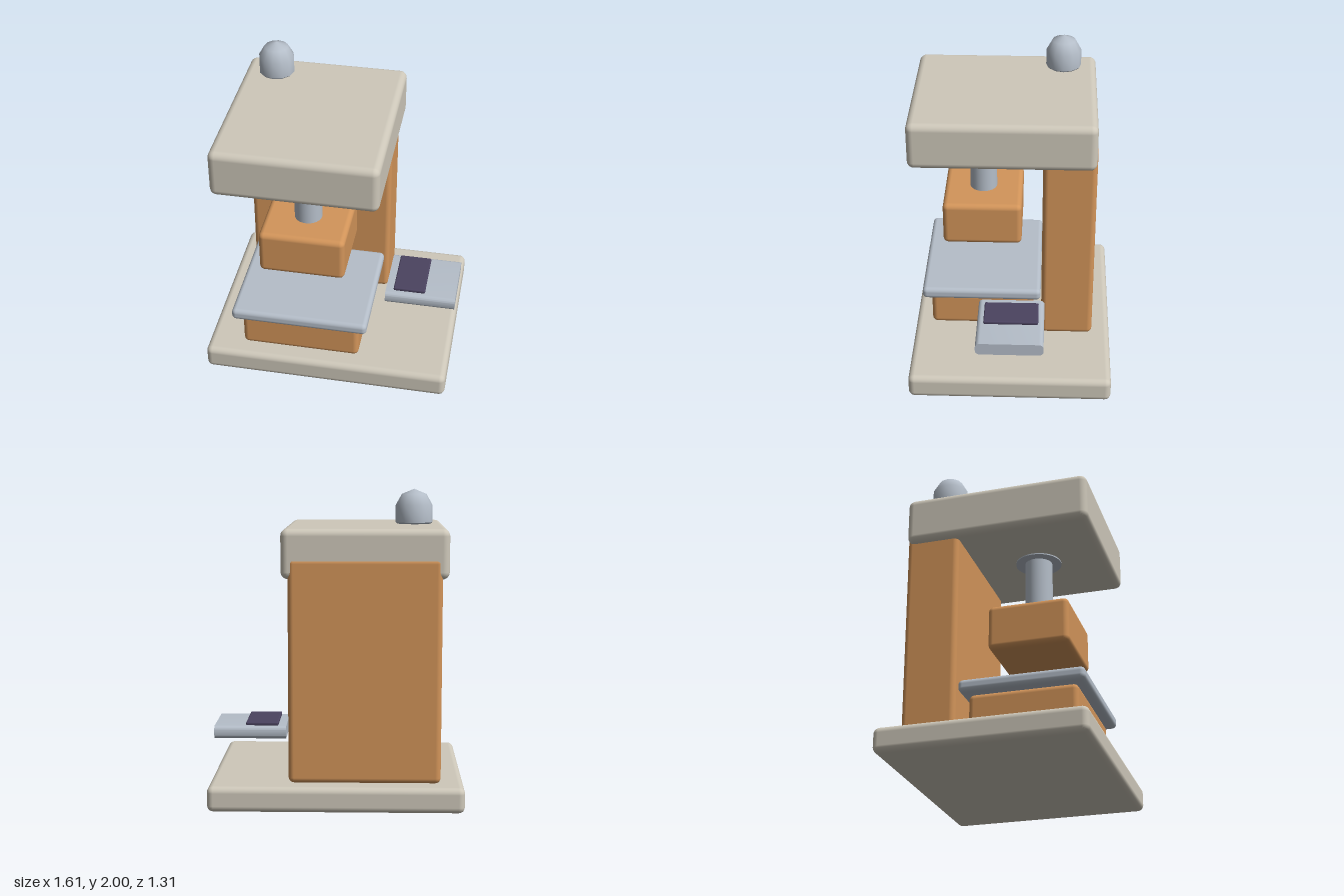
import * as THREE from 'three';
import { toCreasedNormals } from 'three/addons/utils/BufferGeometryUtils.js';
import { RoundedBoxGeometry } from 'three/addons/geometries/RoundedBoxGeometry.js';

const material = (name, color) => {
  const m = new THREE.MeshStandardMaterial({ color });
  m.name = name;
  return m;
};

export function createModel() {
  const model = new THREE.Group();
  model.name = 'pressMachine';

  const cream = material('cream', 0xcec8ba);
  const orange = material('orange', 0xd3955a);
  const steel = material('steel', 0xb5bec9);
  const dark = material('darkScreen', 0x4b4360);

  const add = (name, geometry, mat, x = 0, y = 0, z = 0) => {
    const mesh = new THREE.Mesh(geometry, mat);
    mesh.name = name;
    mesh.position.set(x, y, z);
    model.add(mesh);
    return mesh;
  };

  // Soft-edged block given by its limits on each axis
  const block = (name, mat, [x0, x1], [y0, y1], [z0, z1], radius) =>
    add(name, new RoundedBoxGeometry(x1 - x0, y1 - y0, z1 - z0, 3, radius), mat,
      (x0 + x1) / 2, (y0 + y1) / 2, (z0 + z1) / 2);

  // Frame: base, rear column, overhanging head
  block('base', cream, [-0.807, 0.805], [0, 0.162], [-0.657, 0.657], 0.04);
  block('column', orange, [-0.66, 0.3], [0.16, 1.58], [-0.537, -0.195], 0.035);
  block('head', cream, [-0.702, 0.344], [1.448, 1.76], [-0.532, 0.655], 0.045);

  // Work table on its pedestal
  block('pedestal', orange, [-0.57, 0.21], [0.162, 0.402], [-0.14, 0.545], 0.035);
  block('tablePlate', steel, [-0.63, 0.27], [0.402, 0.482], [-0.19, 0.6], 0.03);

  // Ram with collar and pressing block
  const ramX = -0.18, ramZ = 0.205;
  add('collar', new THREE.CylinderGeometry(0.15, 0.15, 0.03, 32), steel, ramX, 1.455, ramZ);
  add('ram', new THREE.CylinderGeometry(0.09, 0.09, 0.46, 32), steel, ramX, 1.24, ramZ);
  block('pressBlock', orange, [-0.46, 0.1], [0.74, 1.038], [-0.057, 0.465], 0.035);

  // Control panel: rounded section run along x, with flat ends
  const w = 0.218, h = 0.042, r = 0.03;
  const section = new THREE.Shape();
  section.moveTo(-w + r, -h);
  section.lineTo(w - r, -h);
  section.absarc(w - r, -h + r, r, -Math.PI / 2, 0);
  section.absarc(w - r, h - r, r, 0, Math.PI / 2);
  section.absarc(-w + r, h - r, r, Math.PI / 2, Math.PI);
  section.absarc(-w + r, -h + r, r, Math.PI, Math.PI * 1.5);
  const panel = new THREE.ExtrudeGeometry(section, { depth: 0.47, bevelEnabled: false, curveSegments: 4 });
  panel.rotateY(Math.PI / 2);
  add('controlPanel', toCreasedNormals(panel, 0.7), steel, 0.335, 0.413, 0);
  block('screen', dark, [0.387, 0.6], [0.452, 0.477], [-0.18, 0.175], 0.009);

  // Beacon dome hovering over the rear corner of the head
  const profile = [[0, 1.784], [0.106, 1.784], [0.115, 1.793], [0.115, 1.9], [0.077, 1.968], [0, 2]]
    .map(([x, y]) => new THREE.Vector2(x, y));
  const dome = new THREE.LatheGeometry(profile, 12);
  add('beacon', toCreasedNormals(dome, 0.75), steel, -0.484, 0, -0.315);

  return model;
}
